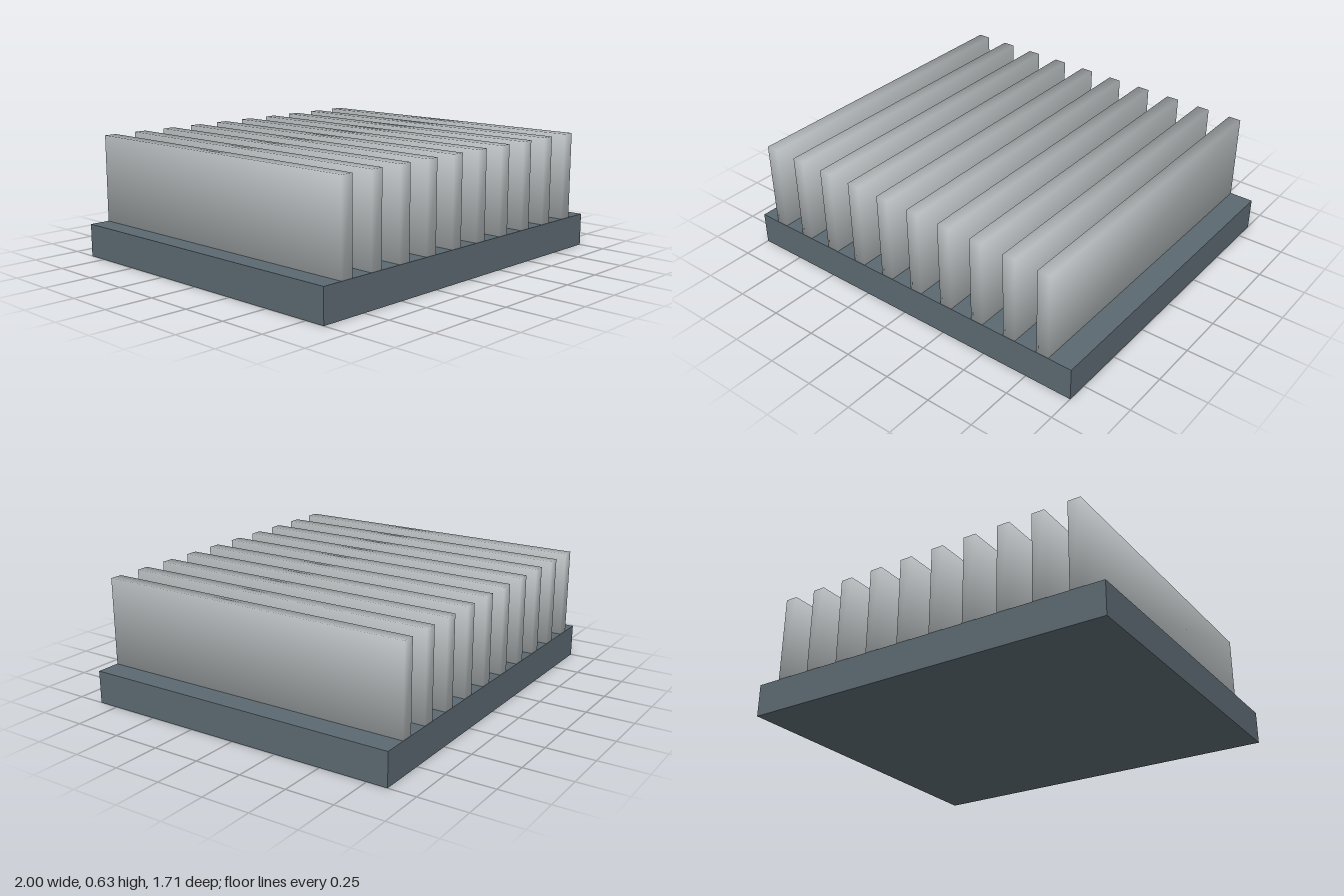
import * as THREE from 'three';

// Box whose normals blend smoothly around its eight corners
function softBox(w, h, d) {
  const geo = new THREE.BoxGeometry(w, h, d);
  const pos = geo.attributes.position;
  const n = 1 / Math.sqrt(3);
  for (let i = 0; i < pos.count; i++) {
    geo.attributes.normal.setXYZ(
      i,
      Math.sign(pos.getX(i)) * n,
      Math.sign(pos.getY(i)) * n,
      Math.sign(pos.getZ(i)) * n
    );
  }
  return geo;
}

export function createModel() {
  const model = new THREE.Group();
  model.name = 'heatSink';

  const slate = new THREE.MeshStandardMaterial({ name: 'slateGrey', color: 0x5b6870 });
  const silver = new THREE.MeshStandardMaterial({ name: 'silverGrey', color: 0xb4b9bb });

  // Base plate
  const baseHeight = 0.172, depth = 1.714;
  const base = new THREE.Mesh(new THREE.BoxGeometry(2, baseHeight, depth), slate);
  base.name = 'basePlate';
  base.position.y = baseHeight / 2;
  model.add(base);

  // Row of ten upright fins, sunk slightly into the plate
  const fins = new THREE.Group();
  fins.name = 'fins';
  const finBottom = 0.11, finTop = 0.63, count = 10;
  const finGeo = softBox(0.067, finTop - finBottom, depth - 0.003);
  for (let i = 0; i < count; i++) {
    const fin = new THREE.Mesh(finGeo, silver);
    fin.name = `fin${i + 1}`;
    fin.position.set(-0.858 + i * 0.1887, (finBottom + finTop) / 2, 0);
    fins.add(fin);
  }
  model.add(fins);

  return model;
}
